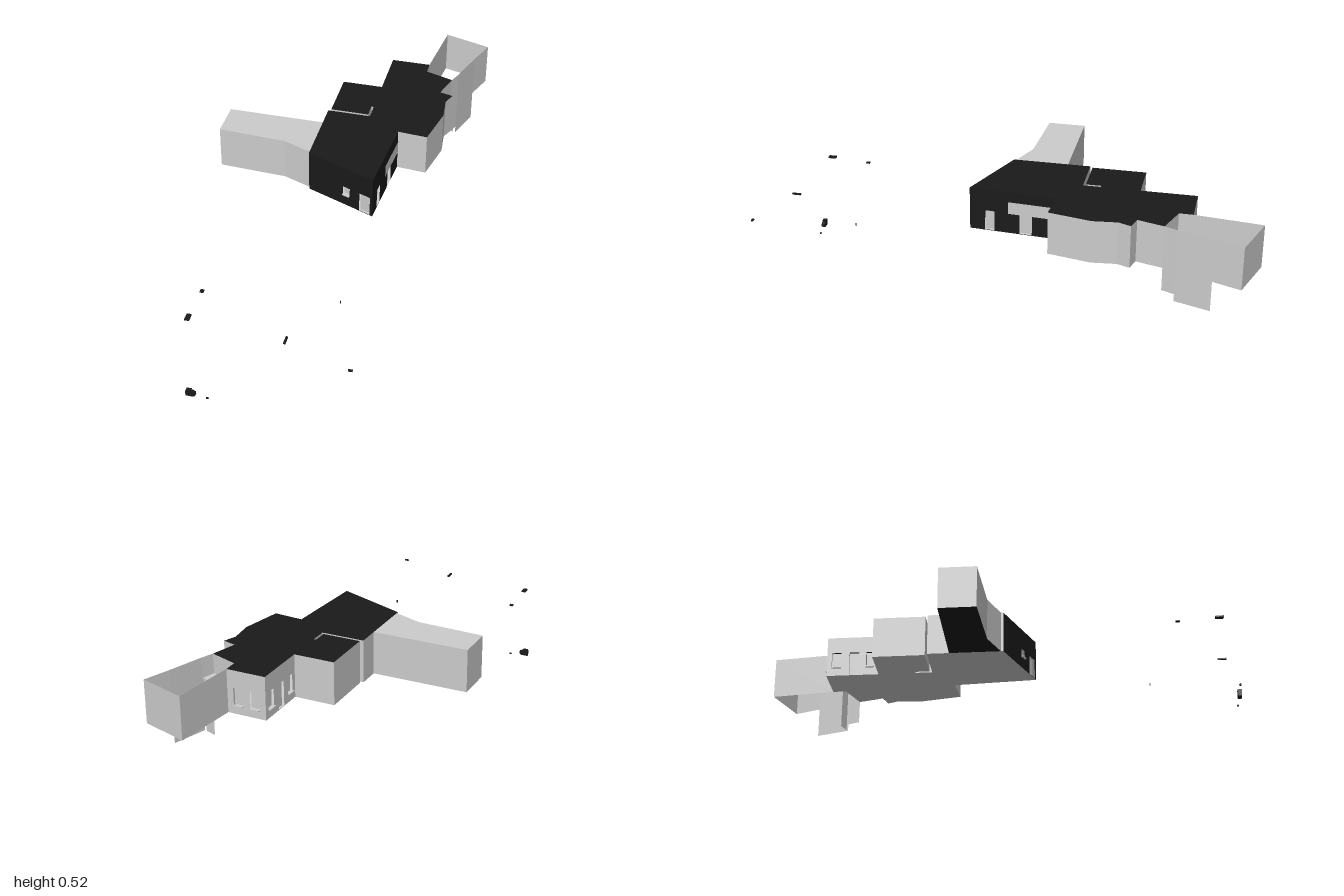
import * as THREE from 'three';

const FLOOR = 0.345, TOP = 0.52;
const grey = new THREE.MeshStandardMaterial({ color: 0xcccccc, side: THREE.DoubleSide, flatShading: true });
const dark = new THREE.MeshStandardMaterial({ color: 0x1a1a1a, side: THREE.DoubleSide, flatShading: true });

// Plan outline of the house as [x, z], with the narrow slit beside the left room
const outline = [
  [-0.085, 0.02], [0.2, 0.135], [0.225, -0.21], [0.345, -0.2], [0.38, -0.37], [0.37, -0.47],
  [0.39, -0.52], [0.335, -0.535], [0.365, -0.64], [0.25, -0.68], [0.25, -0.735], [0.09, -0.735],
  [0.09, -0.515], [-0.075, -0.515], [-0.075, -0.3], [0.08, -0.3], [0.08, -0.36], [0.09, -0.36],
  [0.09, -0.29], [-0.085, -0.29],
];
const wing = [[-0.475, -0.2], [-0.475, -0.05], [-0.2, -0.035], [-0.085, 0.01], [-0.085, -0.2]];

// Openings per outline edge: [start, end, bottom, top], measured along the edge
const openings = {
  0: [[0.167, 0.199, 0.395, 0.43], [0.245, 0.295, 0.347, 0.43]],
  1: [[0.06, 0.1, 0.347, 0.43], [0.2, 0.25, 0.347, 0.43]],
  10: [[0.025, 0.065, 0.38, 0.45], [0.095, 0.135, 0.38, 0.45]],
  11: [[0.02, 0.06, 0.38, 0.45], [0.095, 0.135, 0.347, 0.45], [0.165, 0.2, 0.38, 0.45]],
};

function add(group, name, geometry, material) {
  const mesh = new THREE.Mesh(geometry, material);
  mesh.name = name;
  group.add(mesh);
  return mesh;
}

// Horizontal sheet from a plan outline
function slab(group, name, points, y, material) {
  const shape = new THREE.Shape(points.map(([x, z]) => new THREE.Vector2(x, -z)));
  const geometry = new THREE.ShapeGeometry(shape).rotateX(-Math.PI / 2);
  add(group, name, geometry, material).position.y = y;
}

function rectangle(target, u0, u1, v0, v1) {
  target.moveTo(u0, v0).lineTo(u1, v0).lineTo(u1, v1).lineTo(u0, v1).lineTo(u0, v0);
  return target;
}

// Upright sheet from a to b, with openings closed by set-back panes
function wall(group, name, a, b, material = grey, y0 = FLOOR, y1 = TOP, holes = []) {
  const dx = b[0] - a[0], dz = b[1] - a[1];
  const panel = new THREE.Group();
  panel.name = name;
  panel.position.set(a[0], 0, a[1]);
  panel.rotation.y = Math.atan2(-dz, dx);
  const shape = rectangle(new THREE.Shape(), 0, Math.hypot(dx, dz), y0, y1);
  for (const [u0, u1, v0, v1] of holes) {
    shape.holes.push(rectangle(new THREE.Path(), u0, u1, v0, v1));
    const pane = rectangle(new THREE.Shape(), u0, u1, v0, v1);
    add(panel, 'pane', new THREE.ShapeGeometry(pane), grey).position.z = -0.01;
    // Sill below windows only
    if (v0 > 0.36) {
      const sill = add(panel, 'sill', new THREE.BoxGeometry(u1 - u0, 0.004, 0.01), grey);
      sill.position.set((u0 + u1) / 2, v0, 0.004);
    }
  }
  add(panel, 'sheet', new THREE.ShapeGeometry(shape), material);
  group.add(panel);
}

export function createModel() {
  const model = new THREE.Group();
  model.name = 'building';

  // Main house
  const house = new THREE.Group();
  house.name = 'house';
  slab(house, 'roof', outline, TOP, dark);
  slab(house, 'floor', outline, FLOOR, grey);
  outline.forEach((a, i) => {
    const b = outline[(i + 1) % outline.length];
    wall(house, 'houseWall', a, b, i < 2 ? dark : grey, FLOOR, TOP, openings[i]);
  });
  wall(house, 'lintelBand', [0.216, -0.02], [0.229, -0.2], grey, 0.43, 0.48);
  model.add(house);

  // Pale side wing
  const annex = new THREE.Group();
  annex.name = 'sideWing';
  slab(annex, 'wingRoof', wing, TOP, grey);
  slab(annex, 'wingBase', wing, FLOOR, dark);
  for (let i = 0; i < 4; i++) wall(annex, 'wingWall', wing[i], wing[(i + 1) % wing.length]);
  wall(annex, 'wingBackWall', wing[4], wing[0]);
  model.add(annex);

  // Open screened yard behind the house
  const yard = new THREE.Group();
  yard.name = 'yardScreen';
  const corners = [[0.365, -0.64], [0.385, -0.69], [0.43, -0.83], [0.47, -0.94], [0.28, -1], [0.25, -0.735]];
  const bottoms = [0.25, 0.22, FLOOR, FLOOR, FLOOR];
  bottoms.forEach((y, i) => wall(yard, 'screenPanel', corners[i], corners[i + 1], grey, y));
  wall(yard, 'stepPanel', [0.33, -0.71], [0.375, -0.695], grey, 0.22, 0.44);
  slab(yard, 'doorCanopy', [[0.335, -0.71], [0.38, -0.695], [0.365, -0.64], [0.32, -0.655]], 0.44, grey);
  model.add(yard);

  // Small loose pieces in front: centre, then size
  const pieces = [
    [-0.31, 0.335, 0.71, 0.014, 0.004, 0.016], [-0.31, 0.346, 0.87, 0.018, 0.006, 0.032],
    [0.063, 0.346, 0.9, 0.008, 0.006, 0.036], [0.32, 0.346, 0.992, 0.016, 0.005, 0.008],
    [0.19, 0.302, 0.608, 0.004, 0.01, 0.004], [-0.238, 0.005, 0.922, 0.01, 0.004, 0.006],
    [-0.308, 0.035, 0.925, 0.02, 0.003, 0.016],
  ];
  for (const [x, y, z, w, h, d] of pieces) {
    add(model, 'loosePiece', new THREE.BoxGeometry(w, h, d), dark).position.set(x, y, z);
  }
  // Larger piece with a chamfered end
  const block = new THREE.Shape();
  block.moveTo(-0.32, 0.009).lineTo(-0.29, 0.009).lineTo(-0.282, 0.015).lineTo(-0.282, 0.026);
  block.lineTo(-0.295, 0.032).lineTo(-0.32, 0.032).closePath();
  const blockGeometry = new THREE.ExtrudeGeometry(block, { depth: 0.014, bevelEnabled: false });
  add(model, 'looseBlock', blockGeometry, dark).position.z = 0.918;
  return model;
}
